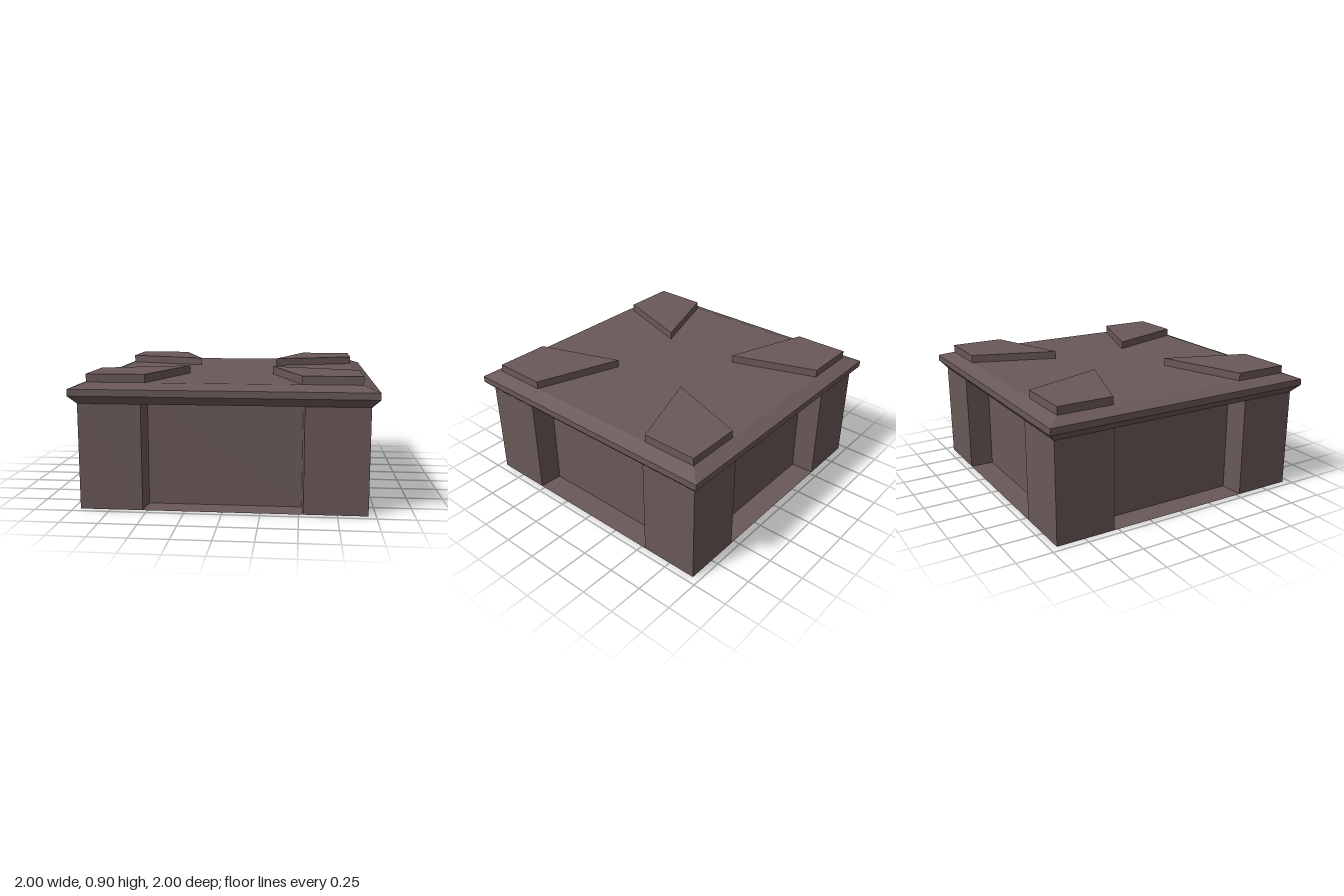
import * as THREE from 'three';

const material = new THREE.MeshStandardMaterial({ color: 0x6a5858, flatShading: true, side: THREE.DoubleSide });

// Main dimensions
const BODY = 0.95, INNER = 0.78, BODY_TOP = 0.71, CAP_TOP = 0.845;
const MOUTH = 0.53, PANEL = 0.52;

function addMesh(parent, name, geometry) {
  const mesh = new THREE.Mesh(geometry, material);
  mesh.name = name;
  parent.add(mesh);
  return mesh;
}

// Extrudes a plan outline upward from y0 to y1
function slab(points, y0, y1) {
  const shape = new THREE.Shape(points.map(([x, y]) => new THREE.Vector2(x, y)));
  return new THREE.ExtrudeGeometry(shape, { depth: y1 - y0, bevelEnabled: false })
    .rotateX(-Math.PI / 2)
    .translate(0, y0, 0);
}

// Trapezoid running from the recess mouth back to its inner panel
function recessQuad(yMouth, yPanel, facesUp) {
  const geometry = new THREE.BufferGeometry();
  geometry.setAttribute('position', new THREE.Float32BufferAttribute([
    -MOUTH, yMouth, BODY, MOUTH, yMouth, BODY,
    PANEL, yPanel, INNER, -PANEL, yPanel, INNER,
  ], 3));
  geometry.setIndex(facesUp ? [0, 1, 2, 0, 2, 3] : [0, 2, 1, 0, 3, 2]);
  geometry.computeVertexNormals();
  return geometry;
}

export function createModel() {
  const model = new THREE.Group();
  model.name = 'squareBlock';

  // Body with one tapered recess in the middle of each side
  const outline = [];
  const side = [[-BODY, -BODY], [-MOUTH, -BODY], [-PANEL, -INNER], [PANEL, -INNER], [MOUTH, -BODY]];
  for (let i = 0; i < 4; i++) {
    const c = [1, 0, -1, 0][i], s = [0, 1, 0, -1][i];
    for (const [x, y] of side) outline.push([c * x - s * y, s * x + c * y]);
  }
  addMesh(model, 'body', slab(outline, 0, BODY_TOP));

  // Floor and sloping ceiling of each recess
  for (let i = 0; i < 4; i++) {
    const recess = new THREE.Group();
    recess.name = 'recess';
    recess.rotation.y = i * Math.PI / 2;
    addMesh(recess, 'recessFloor', recessQuad(0, 0, true));
    addMesh(recess, 'recessCeiling', recessQuad(BODY_TOP, 0.7, false));
    model.add(recess);
  }

  // Bevelled square cap: a four-sided lathe
  const profile = [[BODY, BODY_TOP], [1, 0.765], [1, 0.81], [0.9, CAP_TOP], [0, CAP_TOP]]
    .map(([half, y]) => new THREE.Vector2(half * Math.SQRT2, y));
  addMesh(model, 'cap', new THREE.LatheGeometry(profile, 4, Math.PI / 4).toNonIndexed());

  // Wedge pads pointing from the corners to the centre
  const pad = slab([[0.9, 0.9], [0.51, 0.9], [0.3, 0.3], [0.9, 0.51]], CAP_TOP, 0.9);
  for (let i = 0; i < 4; i++) addMesh(model, 'cornerPad', pad).rotation.y = i * Math.PI / 2;

  return model;
}
